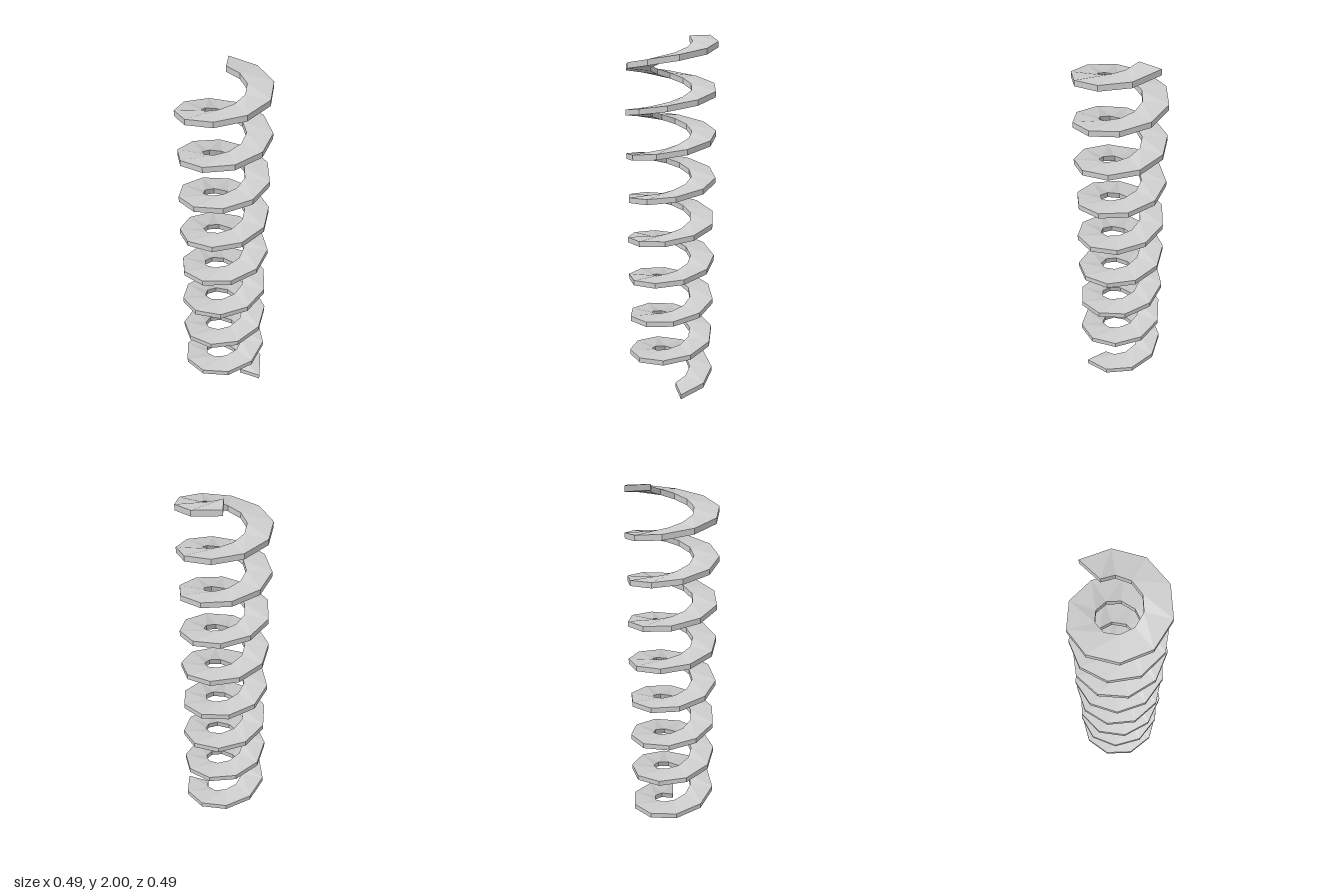
import * as THREE from 'three';

const TURNS = 8.3, SEGMENTS = 80;
const INNER = 0.112, OUTER = 0.244, THICK = 0.03, HEIGHT = 2;

// Rectangular strip swept up a helix: one four-corner section per step.
function helicalStrip() {
  const positions = [], indices = [];
  for (let i = 0; i <= SEGMENTS; i++) {
    const t = i / SEGMENTS;
    const angle = t * TURNS * Math.PI * 2;
    const y = t * (HEIGHT - THICK);
    const corners = [[INNER, y], [OUTER, y], [OUTER, y + THICK], [INNER, y + THICK]];
    for (const [r, h] of corners) positions.push(r * Math.cos(angle), h, -r * Math.sin(angle));
  }
  // Bottom, outer, top and inner faces of each step
  for (let i = 0; i < SEGMENTS; i++) {
    for (let j = 0; j < 4; j++) {
      const a = i * 4 + j, d = i * 4 + (j + 1) % 4;
      indices.push(a, a + 4, d + 4, a, d + 4, d);
    }
  }
  // End caps
  const e = SEGMENTS * 4;
  indices.push(0, 1, 2, 0, 2, 3, e, e + 2, e + 1, e, e + 3, e + 2);

  const geometry = new THREE.BufferGeometry();
  geometry.setAttribute('position', new THREE.Float32BufferAttribute(positions, 3));
  geometry.setIndex(indices);
  const flat = geometry.toNonIndexed();
  flat.computeVertexNormals();
  return flat;
}

export function createModel() {
  const group = new THREE.Group();
  group.name = 'spring';
  const material = new THREE.MeshStandardMaterial({ color: 0xcccccc, flatShading: true });
  const coil = new THREE.Mesh(helicalStrip(), material);
  coil.name = 'coil';
  group.add(coil);
  return group;
}
